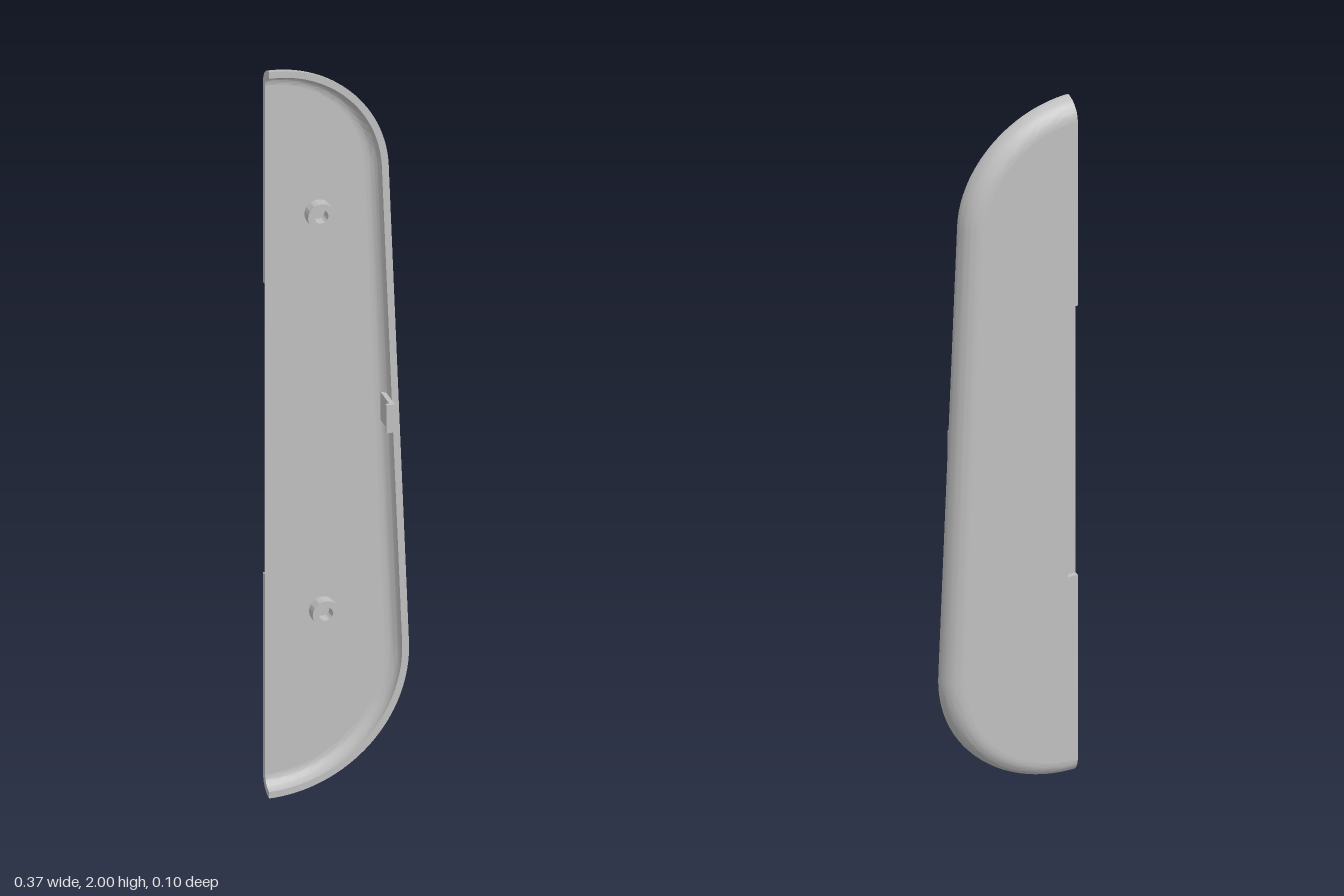
import * as THREE from 'three';
import { toCreasedNormals } from 'three/addons/utils/BufferGeometryUtils.js';

const CUT = -0.183;              // x of the straight cut edge
const R_LOW = 0.366, R_TOP = 0.313;
const DEPTH = 0.052, WALL = 0.018;
const FLOOR = WALL - DEPTH;      // z of the inside floor

// Half outline of two circles joined by a tangent, moved inward by an offset
function outline(offset, steps = 32) {
  const tilt = Math.asin((R_LOW - R_TOP) / (2 - R_LOW - R_TOP));
  const points = [];
  const arc = (cy, r, a, b) => {
    for (let i = 0; i <= steps; i++) {
      const t = a + (b - a) * i / steps;
      points.push(new THREE.Vector2(CUT + (r - offset) * Math.cos(t), cy + (r - offset) * Math.sin(t)));
    }
  };
  arc(R_LOW, R_LOW, -Math.PI / 2, tilt);
  arc(2 - R_TOP, R_TOP, tilt, Math.PI / 2);
  return points;
}

// Wall cross-section as (inward offset, z): outer round, then inner round
function wallProfile(steps = 12) {
  const points = [];
  for (let i = 0; i <= steps; i++) {
    const t = Math.PI / 2 * i / steps;
    points.push(new THREE.Vector2(DEPTH - DEPTH * Math.cos(t), -DEPTH * Math.sin(t)));
  }
  for (let i = steps; i >= 0; i--) {
    const t = Math.PI / 2 * i / steps, r = DEPTH - WALL;
    points.push(new THREE.Vector2(DEPTH - r * Math.cos(t), -r * Math.sin(t)));
  }
  return points;
}

function wallGeometry(profile) {
  const positions = [], index = [], m = profile.length;
  const loops = profile.map(p => outline(p.x));
  const n = loops[0].length;
  for (let i = 0; i < n; i++) {
    for (let j = 0; j < m; j++) {
      positions.push(loops[j][i].x, loops[j][i].y, profile[j].y);
      if (i === n - 1) continue;
      const a = i * m + j, b = i * m + (j + 1) % m;
      index.push(a, b, a + m, b, b + m, a + m);
    }
  }
  const geometry = new THREE.BufferGeometry();
  geometry.setAttribute('position', new THREE.Float32BufferAttribute(positions, 3));
  geometry.setIndex(index);
  return toCreasedNormals(geometry, 0.6);
}

export function createModel() {
  const group = new THREE.Group();
  const grey = new THREE.MeshStandardMaterial({ color: 0xc0c0c0 });
  grey.name = 'plain grey';
  const add = (name, geometry, x = 0, y = 0, z = 0) => {
    const mesh = new THREE.Mesh(geometry, grey);
    mesh.name = name;
    mesh.position.set(x, y, z);
    group.add(mesh);
    return mesh;
  };

  // Rounded wall and the flat ends where it is cut
  const profile = wallProfile();
  add('roundedWall', wallGeometry(profile));
  const toCut = new THREE.Matrix4().makeBasis(
    new THREE.Vector3(0, -1, 0), new THREE.Vector3(0, 0, 1), new THREE.Vector3(-1, 0, 0));
  for (const [name, sign, y] of [['lowerWallEnd', -1, 0], ['upperWallEnd', 1, 2]]) {
    const shape = new THREE.Shape(profile.map(p => new THREE.Vector2(sign * p.x, p.y)));
    add(name, new THREE.ShapeGeometry(shape).applyMatrix4(toCut), CUT, y, 0);
  }

  // Floor in two layers; the back layer has a shallow recess on the cut edge
  const layer = (points, depth) =>
    new THREE.ExtrudeGeometry(new THREE.Shape(points), { depth, bevelEnabled: false });
  const inner = outline(DEPTH);
  const recess = [[0, 1.4], [0.027, 1.4], [0.027, 0.6], [0, 0.6]]
    .map(([x, y]) => new THREE.Vector2(CUT + x, y));
  const recessDepth = 0.012;
  add('floorInside', layer(inner, WALL - recessDepth), 0, 0, -DEPTH + recessDepth);
  add('floorBack', layer([...inner, ...recess], recessDepth), 0, 0, -DEPTH);

  // Hollow screw posts
  const post = [[0.035, 0], [0.035, 0.03], [0.018, 0.03], [0.018, 0]]
    .map(([r, h]) => new THREE.Vector2(r, h));
  const postGeometry = toCreasedNormals(new THREE.LatheGeometry(post, 40), 0.6).rotateX(Math.PI / 2);
  add('upperScrewPost', postGeometry, -0.045, 1.58, FLOOR);
  add('lowerScrewPost', postGeometry, -0.033, 0.485, FLOOR);

  // Hooked snap clip
  add('clipStem', new THREE.BoxGeometry(0.012, 0.077, 0.08), 0.124, 1.025, 0.01);
  add('clipHook', new THREE.BoxGeometry(0.01, 0.077, 0.009), 0.113, 1.025, 0.0455);

  return group;
}
